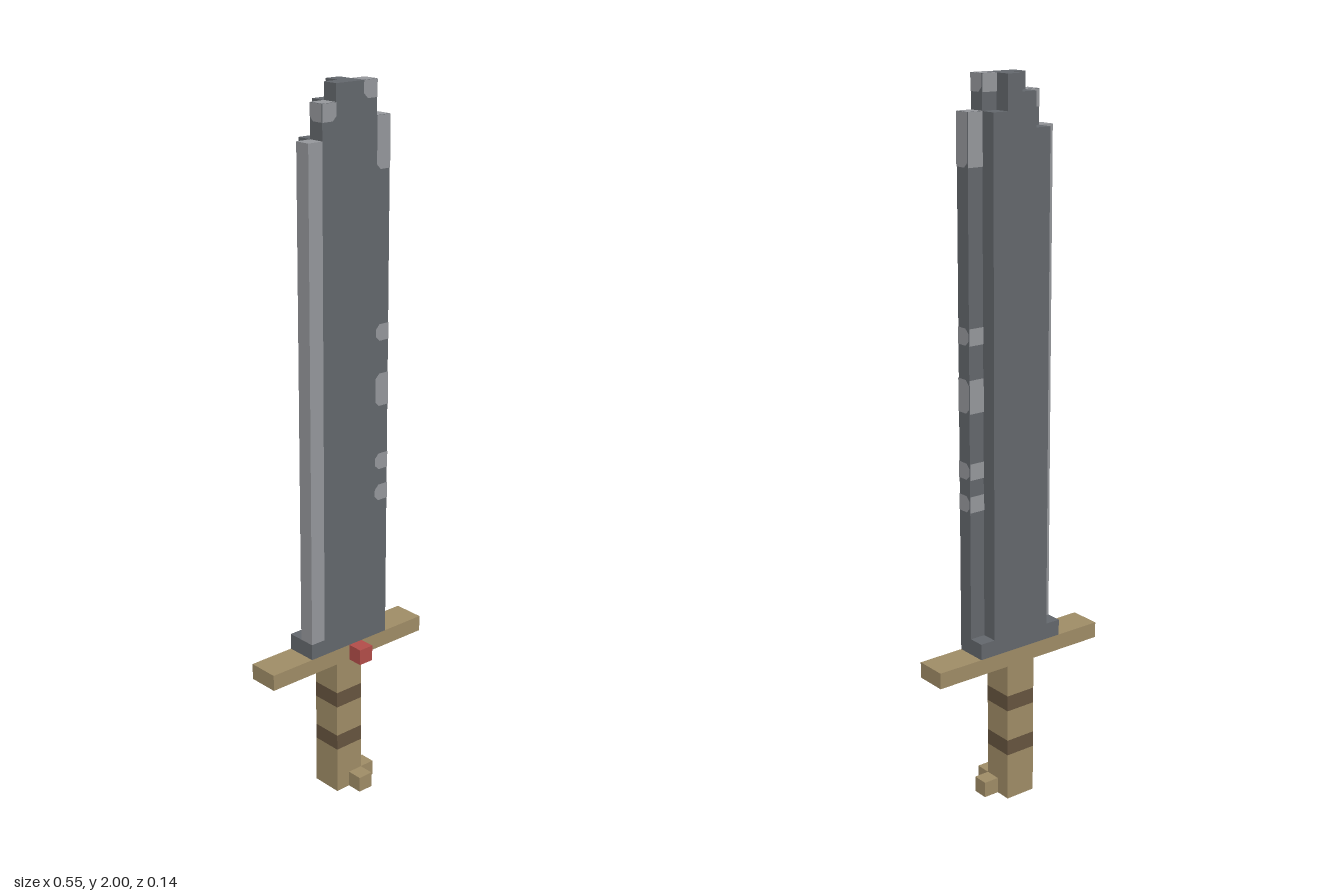
import * as THREE from 'three';

const U = 2 / 44; // one voxel; all sizes below are in voxels
const mat = (name, color) => Object.assign(new THREE.MeshStandardMaterial({ color }), { name });

export function createModel() {
  const steel = mat('dark steel', 0x63676c);
  const edge = mat('worn light steel', 0x95979b);
  const wood = mat('tan wood', 0x9f8c66);
  const wrap = mat('brown wrap', 0x66543f);
  const ruby = mat('red gem', 0xb24d49);

  const root = new THREE.Group();
  root.name = 'sword';
  const add = (parent, name, geo, m) => {
    const mesh = new THREE.Mesh(geo.scale(U, U, U), m);
    mesh.name = name;
    parent.add(mesh);
  };
  const block = (parent, name, m, x0, x1, y0, y1, z0, z1) => add(parent, name,
    new THREE.BoxGeometry(x1 - x0, y1 - y0, z1 - z0)
      .translate((x0 + x1) / 2, (y0 + y1) / 2, (z0 + z1) / 2), m);
  const part = (name) => {
    const g = new THREE.Group();
    g.name = name;
    root.add(g);
    return g;
  };

  // Grip with two wrapped bands
  const grip = part('grip');
  [[0, 3, wood], [3, 4, wrap], [4, 6, wood], [6, 7, wrap], [7, 9, wood]].forEach(([a, b, m]) =>
    block(grip, m === wrap ? 'gripBand' : 'gripSection', m, -1, 1, a, b, -1.5, 0.5));

  // Pommel knobs
  const pommel = part('pommel');
  block(pommel, 'frontKnob', wood, 0, 1, 0, 1, 0.5, 1.5);
  block(pommel, 'sideKnob', wood, 1, 2, 0, 1, -0.5, 0.5);

  // Crossguard and gem
  block(root, 'crossguard', wood, -6, 6, 9, 10, -1.5, 0.5);
  block(root, 'gem', ruby, 0, 1, 9, 10, 0.5, 1.5);

  // Blade: base row, then stepped columns in two layers
  const blade = part('blade');
  block(blade, 'bladeBase', steel, -3, 3, 10, 11, -1.5, 0.5);
  block(blade, 'cuttingEdge', edge, -3, -2, 11, 41, -0.5, 0.5);
  [[-2, -1, 43], [-1, 2, 44], [2, 3, 42]].forEach(([a, b, top]) =>
    block(blade, 'frontLayer', steel, a, b, 11, top, -0.5, 0.5));
  [[-2, -1, 41], [-1, 0, 43], [0, 1, 44], [1, 2, 42]].forEach(([a, b, top]) =>
    block(blade, 'backLayer', steel, a, b, 11, top, -1.5, -0.5));

  // Worn patches: thin faces with cut corners on the inner side (d = -1 left, 1 right, 0 none)
  const plate = (h, d, open) => {
    const c = d ? 0.28 : 0, o = d || 1, t = open ? 0 : c;
    return new THREE.ShapeGeometry(new THREE.Shape([
      [-o / 2, -h / 2], [o * (0.5 - c), -h / 2], [o / 2, c - h / 2],
      [o / 2, h / 2 - t], [o * (0.5 - t), h / 2], [-o / 2, h / 2],
    ].map(([x, y]) => new THREE.Vector2(x, y))));
  };
  const lift = 0.04;
  const patch = (x0, y0, y1, side, top) => {
    const g = new THREE.Group();
    g.name = 'wornPatch';
    blade.add(g);
    const h = y1 - y0, x = x0 + 0.5, y = (y0 + y1) / 2, r = 0.5 + lift;
    add(g, 'front', plate(h, -side, top).translate(x, y, r), edge);
    add(g, 'side', plate(h, side, top).rotateY(side * Math.PI / 2).translate(x + side * r, y, 0), edge);
    add(g, 'back', plate(h, 0, top).rotateY(Math.PI).translate(x, y, -r), edge);
    if (top) add(g, 'top', plate(1, 0, true).rotateX(-Math.PI / 2).translate(x, y1 + 0.01, 0), edge);
  };
  [[19, 20], [21, 22], [25, 27], [29, 30]].forEach(([a, b]) => patch(2, a, b, 1, false));
  patch(2, 39, 42, 1, true);
  patch(1, 43, 44, 1, true);
  patch(-2, 42, 43, -1, true);

  return root;
}
